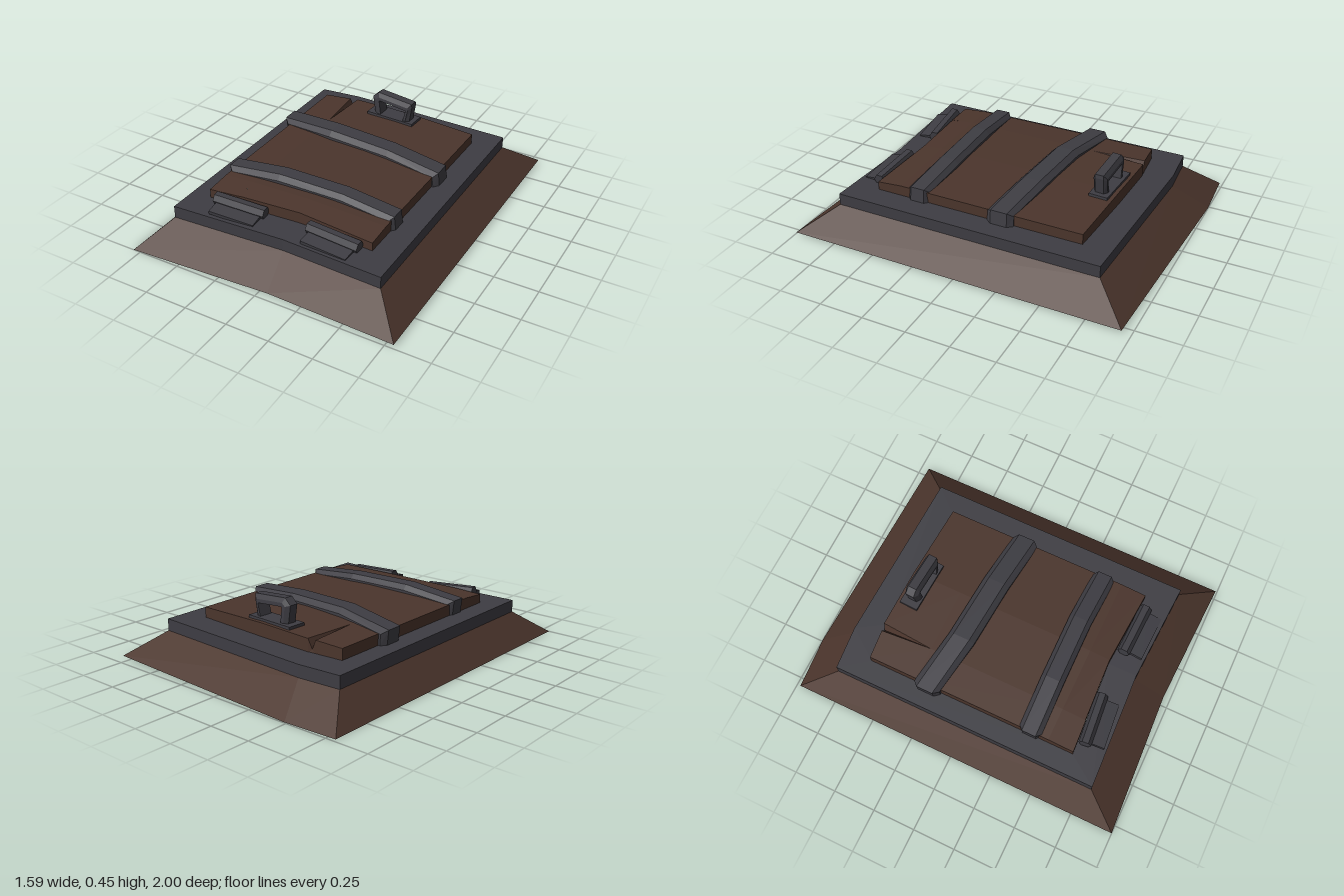
import * as THREE from 'three';

const wood = new THREE.MeshStandardMaterial({ color: 0x4b352c, side: THREE.DoubleSide });
wood.name = 'dark wood';
wood.flatShading = true;
const metal = new THREE.MeshStandardMaterial({ color: 0x3e3d43, side: THREE.DoubleSide });
metal.name = 'grey iron';
metal.flatShading = true;

function mesh(name, geometry, material) {
  const m = new THREE.Mesh(geometry, material);
  m.name = name;
  return m;
}

// Flat-faced geometry from polygons, each a convex list of [x, y, z]
function faces(polygons) {
  const pos = [];
  for (const p of polygons)
    for (let i = 1; i < p.length - 1; i++) pos.push(...p[0], ...p[i], ...p[i + 1]);
  const g = new THREE.BufferGeometry();
  g.setAttribute('position', new THREE.Float32BufferAttribute(pos, 3));
  g.computeVertexNormals();
  return g;
}

// Quads joining loops of equal length; loops run counter-clockwise seen from the last loop
function loft(loops, capped = false) {
  const out = [];
  for (let k = 0; k < loops.length - 1; k++) {
    const a = loops[k], b = loops[k + 1], n = a.length;
    for (let i = 0; i < n; i++) {
      const j = (i + 1) % n;
      out.push([a[i], a[j], b[j], b[i]]);
    }
  }
  if (capped) out.push([...loops[0]].reverse(), loops[loops.length - 1]);
  return out;
}

// Slightly crooked outlines, [x, z], counter-clockwise from above
const skirtLine = [[-0.795, 1], [0.05, 0.96], [0.795, 0.99], [0.795, -0.95], [-0.49, -1], [-0.795, -0.98]];
const frameLine = [[-0.65, 0.8], [0.03, 0.77], [0.62, 0.8], [0.62, -0.76], [-0.4, -0.8], [-0.65, -0.78]];
const doorLine = [[-0.53, 0.63], [0.03, 0.6], [0.48, 0.63], [0.48, -0.605], [-0.3, -0.64], [-0.53, -0.62]];
const level = (line, y, tilt) => line.map(([x, z]) => [x, y + tilt * x, z]);

// Wooden door: open shell with a bowed top and a split at the back
function doorGeometry() {
  const top = (x, z) => 0.297 - 0.06 * x * x - (z > 0.55 ? 0.012 : 0);
  const P = (x, z) => [x, top(x, z), z];
  const back = [[-0.53, -0.62], [-0.365, -0.632], [-0.32, -0.64], [0.03, -0.63], [0.48, -0.605]];
  const front = [0.63, 0.62, 0.618, 0.6, 0.63];
  const rows = [
    back.map(([x, z]) => P(x, z)),
    back.map(([x], i) => P(i === 1 || i === 2 ? -0.342 : x, -0.33)),
    back.map(([x], i) => P(i === 1 || i === 2 ? -0.342 : x, 0.48)),
    back.map(([x], i) => P(i === 1 || i === 2 ? -0.342 : x, front[i])),
  ];
  const out = [];
  for (let r = 0; r < 3; r++)
    for (let c = 0; c < 4; c++) {
      if (c === 1) continue;
      out.push([rows[r][c], rows[r + 1][c], rows[r + 1][c + 1], rows[r][c + 1]]);
    }
  // sloping sides of the split
  const [l, r, tip] = [rows[0][1], rows[0][2], rows[1][1]];
  const low = [-0.342, 0.235, -0.632];
  out.push([l, tip, low], [low, tip, r]);
  // side walls down to the frame
  const wall = (a, b) => out.push([a, [a[0], 0.21, a[2]], [b[0], 0.21, b[2]], b]);
  for (let c = 0; c < 4; c++) {
    if (c !== 1) wall(rows[0][c + 1], rows[0][c]);
    wall(rows[3][c], rows[3][c + 1]);
  }
  out.push([l, low, [l[0], 0.21, l[2]]], [r, [r[0], 0.21, r[2]], low]);
  out.push([low, [r[0], 0.21, r[2]], [l[0], 0.21, l[2]]]);
  for (let k = 0; k < 3; k++) {
    wall(rows[k][0], rows[k + 1][0]);
    wall(rows[k + 1][4], rows[k][4]);
  }
  return faces(out);
}

// Bent iron strap; stations are [outerX, outerY, innerX, innerY, z]
function strapGeometry(stations, half) {
  const loops = stations.map(([ox, oy, ix, iy, z]) => {
    const at = (t, w) => [ix + (ox - ix) * t, iy + (oy - iy) * t, z + w * half];
    return [at(0, 1), at(0, -1), at(0.45, -1), at(1, -0.62), at(1, 0.62), at(0.45, 1)];
  });
  return faces(loft(loops, true));
}

function strap(name, zs, half, endL, endR) {
  const s = [
    [endL + 0.01, 0.215, endL + 0.055, 0.215, zs[0]],
    [endL, 0.302, endL + 0.055, 0.262, zs[0]],
    [-0.22, 0.338, -0.22, 0.285, zs[1]],
    [0.17, 0.333, 0.17, 0.285, zs[2]],
    [endR - 0.01, 0.302, endR - 0.055, 0.262, zs[3]],
    [endR, 0.215, endR - 0.045, 0.215, zs[3]],
  ];
  return mesh(name, strapGeometry(s, half), metal);
}

// Hinge: six-sided barrel with a sloping leaf in front
function hinge(name, x, length, turn, roll) {
  const g = new THREE.Group();
  g.name = name;
  const barrelGeo = new THREE.CylinderGeometry(0.036, 0.036, length, 6);
  barrelGeo.rotateZ(Math.PI / 2);
  const barrel = mesh('hingeBarrel', barrelGeo, metal);
  barrel.position.y = 0.026;
  const leaf = mesh('hingeLeaf', new THREE.BoxGeometry(length * 0.88, 0.02, 0.09), metal);
  leaf.position.set(0, 0.006, 0.063);
  leaf.rotation.x = 0.12;
  g.add(barrel, leaf);
  g.position.set(x, 0.224, 0.655);
  g.rotation.set(0, turn, roll);
  return g;
}

// Handle: crooked bar loop on a thin base plate
function handle() {
  const g = new THREE.Group();
  g.name = 'handle';
  const stations = [
    [-0.13, 0.3, -0.085, 0.3, 0],
    [-0.148, 0.412, -0.098, 0.397, 0],
    [-0.11, 0.447, -0.092, 0.399, 0],
    [0.119, 0.427, 0.085, 0.382, 0],
    [0.121, 0.405, 0.086, 0.38, 0],
    [0.105, 0.3, 0.065, 0.3, 0],
  ];
  const bar = mesh('handleBar', strapGeometry(stations, 0.04), metal);
  const plate = mesh('handlePlate', new THREE.BoxGeometry(0.31, 0.022, 0.11), metal);
  plate.position.set(-0.018, 0.299, -0.005);
  g.add(bar, plate);
  g.position.z = -0.548;
  g.rotation.y = -0.05;
  return g;
}

export function createModel() {
  const model = new THREE.Group();
  model.name = 'cellarHatch';

  // Sloping wooden surround, open underneath
  model.add(mesh('surround', faces(loft([
    level(skirtLine, 0.008, 0.01), level(frameLine, 0.15, 0.008),
  ])), wood));

  // Iron frame: outer wall and flat rim around the door
  model.add(mesh('frame', faces(loft([
    level(frameLine, 0.15, 0.008), level(frameLine, 0.22, 0.006), level(doorLine, 0.22, 0.006),
  ])), metal));

  model.add(mesh('door', doorGeometry(), wood));
  model.add(strap('backStrap', [-0.255, -0.2, -0.17, -0.135], 0.078, -0.575, 0.515));
  model.add(strap('frontStrap', [0.37, 0.362, 0.357, 0.37], 0.066, -0.55, 0.5));
  model.add(hinge('rightHinge', -0.312, 0.305, 0.09, -0.06));
  model.add(hinge('leftHinge', 0.268, 0.31, -0.035, -0.05));
  model.add(handle());
  return model;
}
